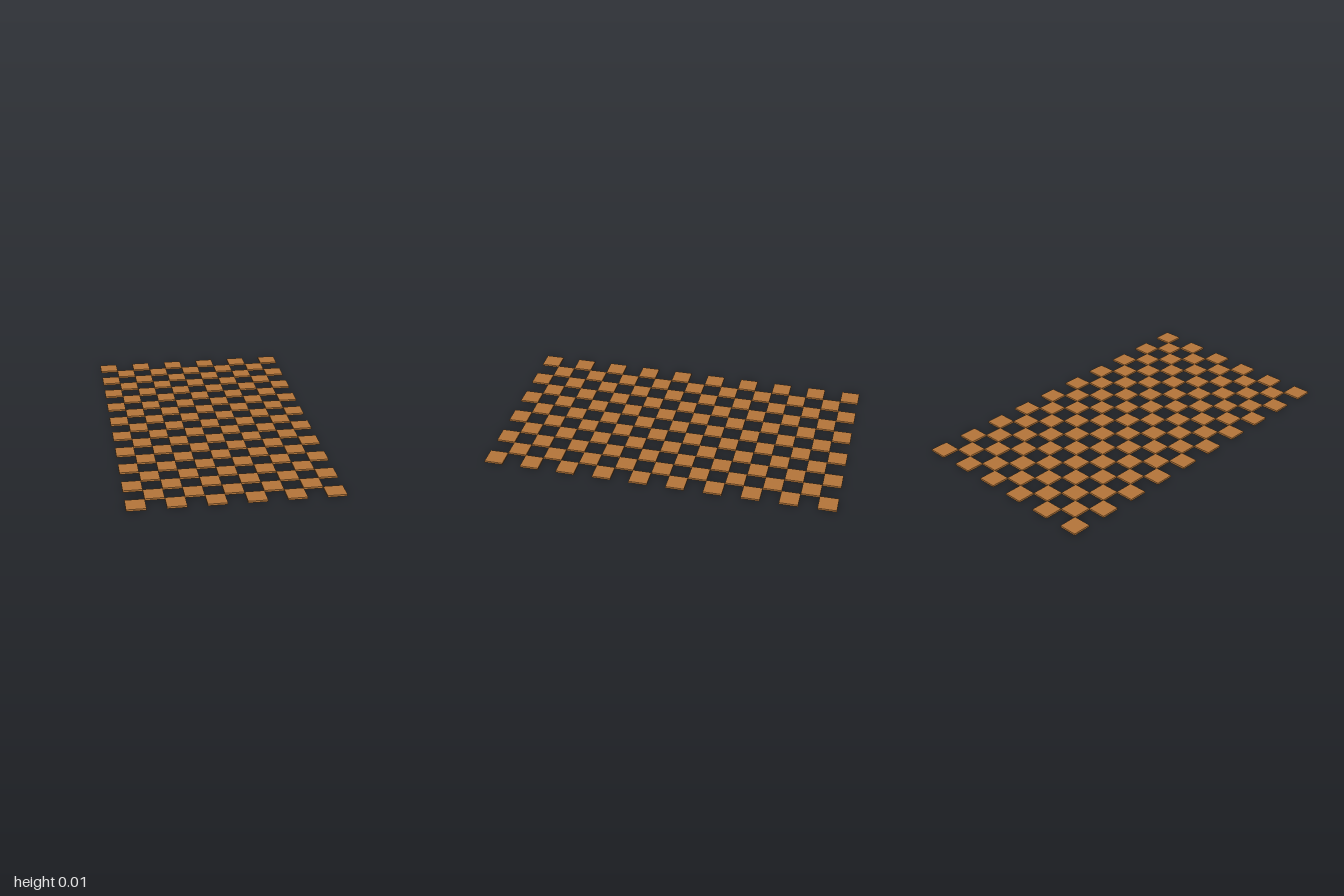
import * as THREE from 'three';

const COLUMNS = 11;
const ROWS = 19;
const TILE = 2 / ROWS; // the rows span the full two units
const THICKNESS = TILE / 10;

export function createModel() {
  const model = new THREE.Group();
  model.name = 'checkeredTileFloor';

  const material = new THREE.MeshStandardMaterial({ color: 0xb5763a });
  const tileGeometry = new THREE.BoxGeometry(TILE, THICKNESS, TILE);

  // Every second cell holds a tile, starting with the corners
  for (let row = 0; row < ROWS; row++) {
    const tileRow = new THREE.Group();
    tileRow.name = `tileRow${row + 1}`;
    tileRow.position.z = (row - (ROWS - 1) / 2) * TILE;
    for (let column = row % 2; column < COLUMNS; column += 2) {
      const tile = new THREE.Mesh(tileGeometry, material);
      tile.name = 'tile';
      tile.position.set((column - (COLUMNS - 1) / 2) * TILE, THICKNESS / 2, 0);
      tileRow.add(tile);
    }
    model.add(tileRow);
  }
  return model;
}
